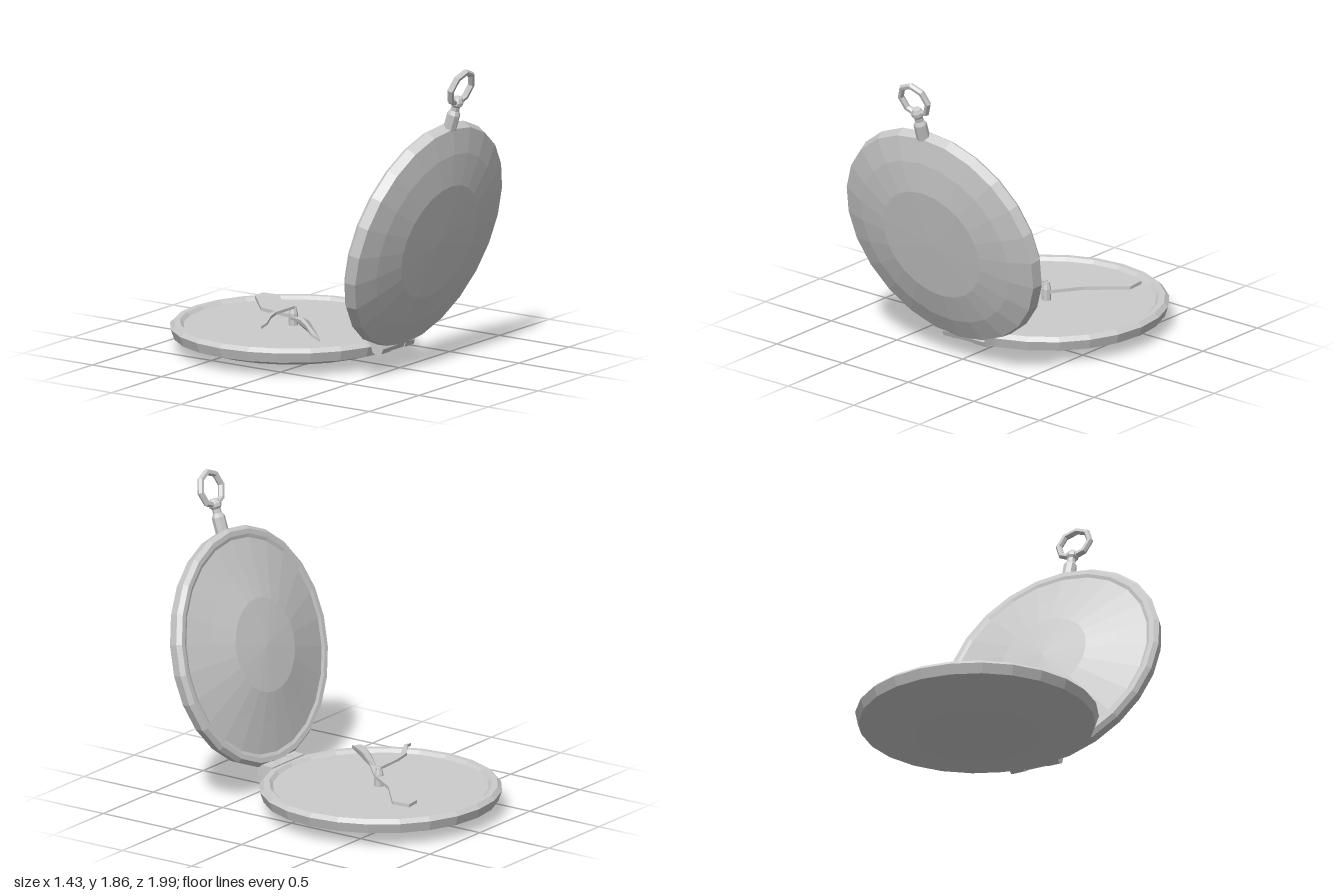
import * as THREE from 'three';

const material = new THREE.MeshStandardMaterial({ color: 0xcccccc, flatShading: true });
const SIDES = 24;

function add(parent, name, geometry, x = 0, y = 0, z = 0) {
  const mesh = new THREE.Mesh(geometry, material);
  mesh.name = name;
  mesh.position.set(x, y, z);
  parent.add(mesh);
  return mesh;
}

function lathe(points, sides = SIDES) {
  return new THREE.LatheGeometry(points.map(([r, y]) => new THREE.Vector2(r, y)), sides);
}

// Flat hand from an [x, z] outline; lift(x, z) bends it upward
function hand(outline, top, thickness, lift = () => 0) {
  const shape = new THREE.Shape(outline.map(([x, z]) => new THREE.Vector2(x, z)));
  const geometry = new THREE.ExtrudeGeometry(shape, { depth: thickness, bevelEnabled: false });
  geometry.rotateX(Math.PI / 2);
  const p = geometry.attributes.position;
  for (let i = 0; i < p.count; i++) {
    p.setY(i, p.getY(i) + top + lift(p.getX(i), p.getZ(i)));
  }
  geometry.computeVertexNormals();
  return geometry;
}

export function createModel() {
  const model = new THREE.Group();
  model.name = 'pocketWatch';

  // Case with domed back, bevelled rim and recessed dial
  add(model, 'case', lathe([
    [0, 0], [0.36, 0.005], [0.55, 0.04], [0.695, 0.085], [0.715, 0.145],
    [0.69, 0.17], [0.655, 0.17], [0.635, 0.15], [0, 0.15],
  ]), 0, 0, -0.283);

  // Open lid, domed on both faces and leaning forward
  const lid = new THREE.Group();
  lid.name = 'lid';
  lid.position.set(0, 0.83, 0.67);
  lid.rotation.x = THREE.MathUtils.degToRad(105);
  model.add(lid);
  add(lid, 'lidShell', lathe([
    [0, -0.14], [0.28, -0.123], [0.46, -0.08], [0.64, -0.038], [0.66, -0.045], [0.69, -0.045],
    [0.712, -0.02], [0.695, 0.04], [0.55, 0.085], [0.36, 0.12], [0, 0.125],
  ]));

  // Stem and ring at the top of the lid
  const bow = new THREE.Group();
  bow.name = 'bow';
  bow.position.set(0, 1.49, 0.86);
  bow.rotation.x = THREE.MathUtils.degToRad(18);
  model.add(bow);
  add(bow, 'stem', lathe([
    [0, 0], [0.04, 0], [0.04, 0.1], [0.026, 0.125], [0.026, 0.15],
    [0.038, 0.165], [0.038, 0.185], [0.024, 0.21], [0, 0.215],
  ], 8));
  add(bow, 'ring', new THREE.TorusGeometry(0.102, 0.02, 6, 8), 0, 0.272, 0);

  // Hinge knuckles with leaves fixed to the case
  for (const [x, width, radius] of [[-0.115, 0.09, 0.044], [0, 0.13, 0.04], [0.115, 0.09, 0.044]]) {
    const barrel = new THREE.CylinderGeometry(radius, radius, width, 8).rotateZ(Math.PI / 2);
    add(model, 'hingeKnuckle', barrel, x, 0.14, 0.452);
    add(model, 'hingeLeaf', new THREE.BoxGeometry(width, 0.04, 0.07), x, 0.158, 0.42);
  }

  // Centre post
  add(model, 'centrePost', lathe([
    [0, 0.14], [0.028, 0.14], [0.028, 0.22], [0.02, 0.25], [0.018, 0.262], [0, 0.265],
  ], 8), 0, 0, -0.27);

  // Broad flat hand
  add(model, 'broadHand', hand([
    [-0.02, -0.28], [0.025, -0.52], [0.25, -0.725], [0.34, -0.735],
    [0.35, -0.62], [0.14, -0.44], [0.02, -0.26],
  ], 0.215, 0.02));

  // Long hand, arched along its length
  add(model, 'archedHand', hand([
    [-0.015, -0.285], [-0.1, -0.185], [-0.2, -0.075], [-0.31, 0.05], [-0.38, 0.13], [-0.39, 0.205],
    [-0.3, 0.11], [-0.2, -0.01], [-0.1, -0.13], [0.015, -0.255],
  ], 0.2, 0.016, (x, z) => 0.05 * Math.sin(Math.PI * Math.min(1, Math.max(0, (z + 0.25) / 0.47)))));

  // Slim curved hand on top of the post
  add(model, 'slimHand', hand([
    [0, -0.285], [-0.19, -0.275], [-0.31, -0.25], [-0.43, -0.165], [-0.5, -0.14],
    [-0.43, -0.145], [-0.3, -0.215], [-0.2, -0.25], [0, -0.255],
  ], 0.268, 0.016, (x) => (x < -0.45 ? -0.012 : 0)));

  return model;
}
